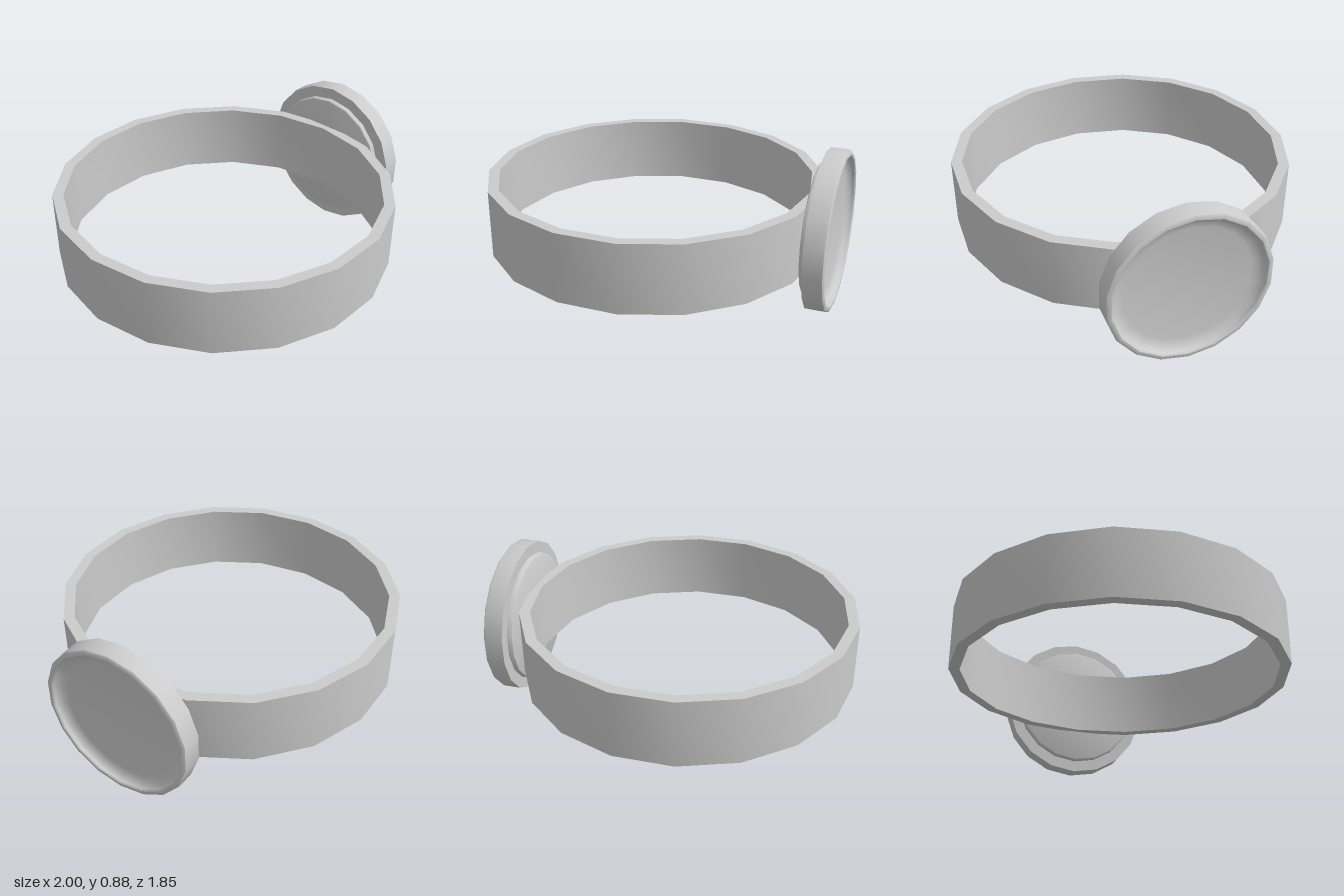
import * as THREE from 'three';
import { toCreasedNormals } from 'three/addons/utils/BufferGeometryUtils.js';

const SIDES = 18;

// Revolve a [radius, height] profile, smooth around and sharp at its corners
function turned(name, profile) {
  const points = profile.map(([r, h]) => new THREE.Vector2(r, h));
  const lathe = new THREE.LatheGeometry(points, SIDES, Math.PI / 2);
  const material = new THREE.MeshStandardMaterial({ color: 0xcccccc });
  const mesh = new THREE.Mesh(toCreasedNormals(lathe, 0.6), material);
  mesh.name = name;
  return mesh;
}

export function createModel() {
  const model = new THREE.Group();
  model.name = 'bandWithDial';

  // Flat band standing on its edge
  const band = turned('band', [
    [0.88, 0.262], [0.94, 0.262], [0.94, 0.643], [0.88, 0.643], [0.88, 0.262],
  ]);
  band.position.x = -0.06;
  model.add(band);

  // Dial on the +x side: its axis is turned to point outwards
  const dial = new THREE.Group();
  dial.name = 'dial';
  dial.rotation.z = -Math.PI / 2;
  dial.position.y = 0.445;

  // Stepped back plate with a softened edge
  dial.add(turned('backPlate', [
    [0, 0.857], [0.362, 0.857], [0.37, 0.861], [0.374, 0.869], [0.374, 0.89],
  ]));

  // Case with a bevelled rim and a dished face
  dial.add(turned('dialCase', [
    [0.36, 0.888], [0.44, 0.888], [0.44, 0.985], [0.437, 0.994], [0.428, 1],
    [0.412, 1], [0.405, 0.994], [0.403, 0.985], [0.393, 0.972],
    [0.37, 0.959], [0.34, 0.953], [0, 0.953],
  ]));
  model.add(dial);

  return model;
}
